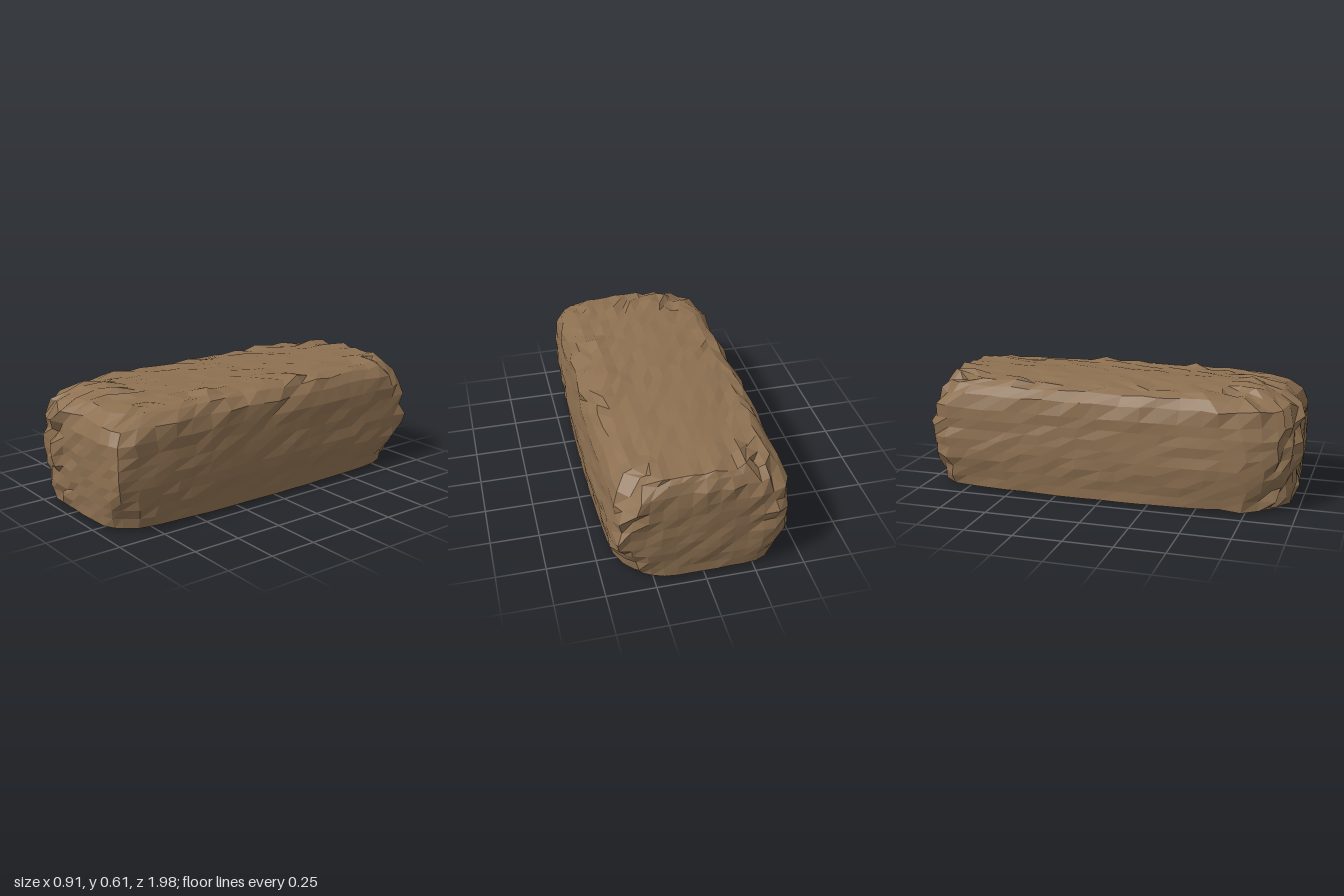
import * as THREE from 'three';

const { smoothstep: smooth, clamp, lerp } = THREE.MathUtils;
const half = new THREE.Vector3(0.44, 0.2925, 0.965);

// Repeatable value in -1..1 for a grid point, so shared edges stay closed
function hash(p, seed) {
  const a = Math.round(p.x * 100), b = Math.round(p.y * 100), c = Math.round(p.z * 100);
  const s = Math.sin(a * 12.9898 + b * 78.233 + c * 37.719 + seed * 53.17) * 43758.5453;
  return (s - Math.floor(s)) * 2 - 1;
}

// Radius of the upright corner nearest to p: fullest at mid height, worn above and below
function cornerRadius(p) {
  const low = smooth(-p.y, 0.02, 0.2925), high = smooth(p.y, 0, 0.2925);
  const [middle, bottom, top] = p.z < 0
    ? (p.x < 0 ? [0.06, 0.18, 0.25] : [0.04, 0.26, 0.22])
    : (p.x < 0 ? [0.2, 0.26, 0.28] : [0.02, 0.18, 0.22]);
  return middle + (bottom - middle) * low + (top - middle) * high;
}

// Turns a point of a plain block into a point of the ragged bale
function shapePoint(p) {
  const o = p.clone();

  // Upright corners: square to round in plan
  const r = cornerRadius(p);
  const ix = clamp(p.x, -half.x + r, half.x - r), iz = clamp(p.z, -half.z + r, half.z - r);
  const dx = p.x - ix, dz = p.z - iz, d = Math.hypot(dx, dz);
  if (d > 1e-6) {
    const k = Math.max(Math.abs(dx), Math.abs(dz)) / d;
    o.x = ix + dx * k;
    o.z = iz + dz * k;
  }

  // Barrel-shaped long sides, fullest a third of the way up and at mid length
  const w = p.z / half.z, u = p.x / half.x;
  const low = smooth(-p.y, 0.1, 0.29), high = smooth(p.y, -0.1, 0.2);
  o.x *= 1.032 - 0.05 * w * w - low * (0.025 + 0.05 * w * w) - 0.045 * high;
  o.z *= 1 - 0.012 * u * u - 0.012 * low;

  // Rounded shoulders, longest over the front end, below a gently crowned top
  const rise = 0.17;
  const t = Math.max(0, (p.y - half.y + rise) / rise) * Math.PI / 2;
  const inset = 1 - Math.cos(t);
  if (t > 0) o.y = half.y - rise + rise * Math.sin(t);
  o.y -= (0.018 * u * u + 0.012 * w ** 4) * smooth(p.y, 0.1, 0.29);
  o.x *= 1 - 0.24 * inset;
  o.z *= 1 - (p.z > 0 ? 0.2 : 0.06) * inset;

  // Outward direction for the straw roughness
  const n = new THREE.Vector3(u ** 9, (p.y / half.y) ** 9, w ** 9).normalize();
  const bottom = p.y < -0.29;
  const end = smooth(Math.abs(p.z), 0.75, 0.93);
  const edge = smooth(Math.abs(p.x), 0.22, 0.4);
  const shoulder = edge * smooth(p.y, 0.08, 0.22);
  const worn = p.z > 0 ? lerp(0.8, 0.08, smooth(p.x, -0.15, 0.1)) : 0.05 + 0.5 * edge;
  const ragged = Math.min(1, end * (worn + 0.25 * smooth(p.y, 0.1, 0.25)) + 0.35 * shoulder);
  const wornCorner = smooth(-p.x, 0.1, 0.35) * smooth(p.z, 0.5, 0.8);
  const amount = bottom ? 0.002 + 0.012 * wornCorner : 0.005 + 0.012 * ragged;
  o.addScaledVector(n, amount * hash(p, 1));
  if (!bottom) {
    o.x += hash(p, 2) * 0.018 * ragged;
    o.y += hash(p, 3) * 0.02 * ragged;
    o.z += hash(p, 4) * (0.025 * (1 - end) + 0.01 * ragged);
    // Occasional tufts sticking out
    if (hash(p, 5) > 0.6) o.addScaledVector(n, 0.04 * ragged);
  }
  return o.set(
    clamp(o.x, -0.465, 0.465),
    clamp(o.y + 0.3075, 0, 0.615),
    clamp(o.z, -1, 1)
  );
}

export function createModel() {
  const straw = new THREE.MeshStandardMaterial({ color: 0x8d7051 });
  straw.name = 'straw brown';

  const block = new THREE.BoxGeometry(half.x * 2, half.y * 2, half.z * 2, 12, 11, 18);
  const pos = block.attributes.position;
  const p = new THREE.Vector3();
  for (let i = 0; i < pos.count; i++) {
    const q = shapePoint(p.fromBufferAttribute(pos, i));
    pos.setXYZ(i, q.x, q.y, q.z);
  }

  // Separate faces give crisp flat facets
  const faceted = block.toNonIndexed();
  faceted.computeVertexNormals();

  const bale = new THREE.Mesh(faceted, straw);
  bale.name = 'strawBale';
  const group = new THREE.Group();
  group.name = 'bale';
  group.add(bale);
  return group;
}
